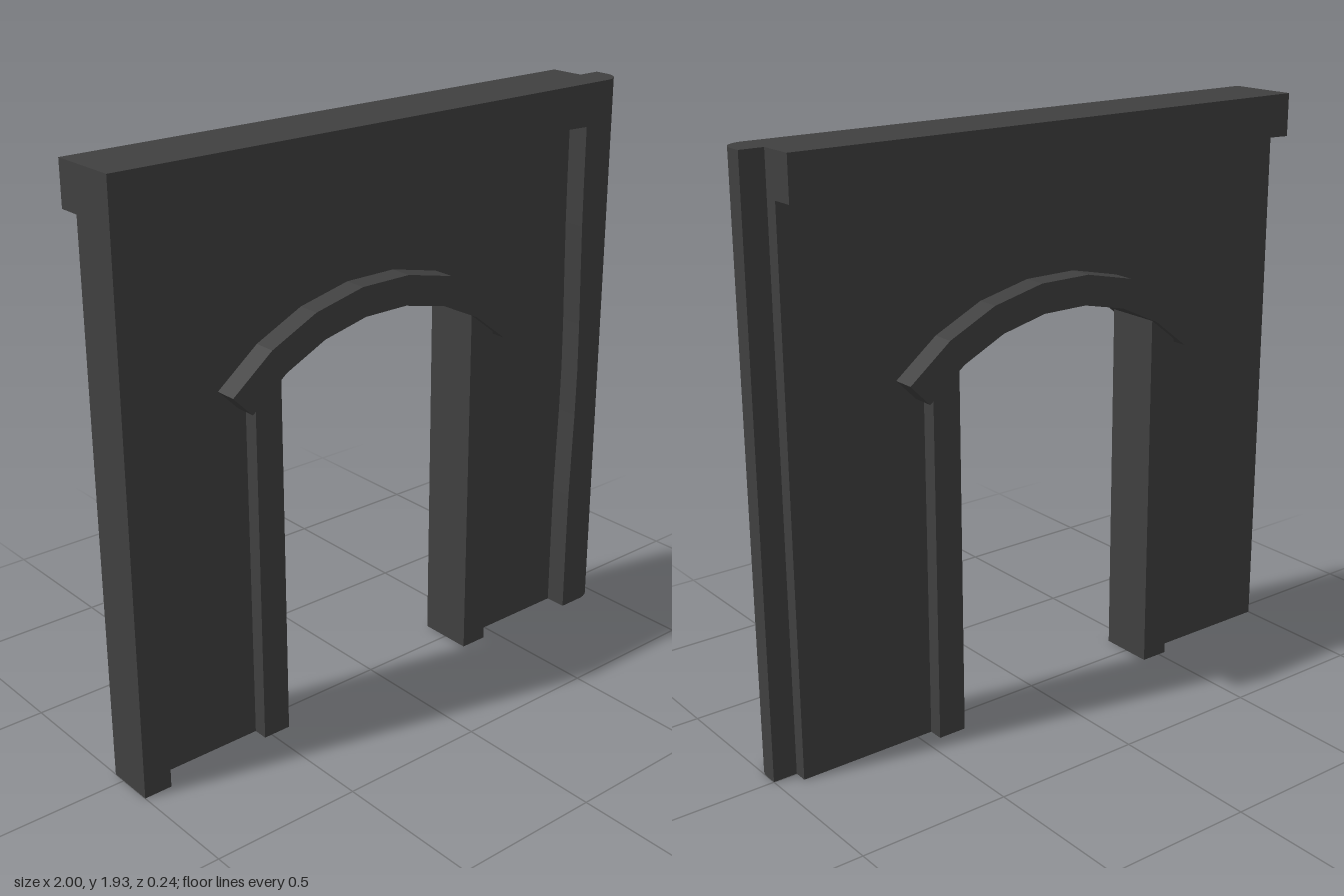
import * as THREE from 'three';
import { toCreasedNormals } from 'three/addons/utils/BufferGeometryUtils.js';

const HEIGHT = 1.93, LEFT = -1, RIGHT = 0.92;   // flat part of the wall
const OUT = 0.12, PANEL = 0.045, JAMB = 0.095;  // half depths
const CX = -0.04, CY = 0.612;                   // centre of the arch
const R_IN = 0.735, R_OUT = 0.833, SPAN = 0.778, SEGMENTS = 7;

// Points of the faceted arch from the left of the opening to the right
function arc(radius, span = SPAN) {
  const points = [];
  for (let i = 0; i <= SEGMENTS; i++) {
    const a = -span + (2 * span * i) / SEGMENTS;
    points.push([CX + radius * Math.sin(a), CY + radius * Math.cos(a)]);
  }
  return points;
}

// Smooth, slightly uneven edge through a few points
function wavy(points) {
  const curve = new THREE.SplineCurve(points.map(([x, y]) => new THREE.Vector2(x, y)));
  return curve.getPoints(12).map((p) => [p.x, p.y]);
}

function polygon(points) {
  return new THREE.Shape(points.map(([x, y]) => new THREE.Vector2(x, y)));
}

export function createModel() {
  const group = new THREE.Group();
  const material = new THREE.MeshStandardMaterial({ color: 0x404040 });

  function add(name, geometry) {
    const mesh = new THREE.Mesh(geometry, material);
    mesh.name = name;
    group.add(mesh);
  }
  // Outline in x and y, extruded from z0 to z1
  function slab(name, points, z0, z1) {
    const geometry = new THREE.ExtrudeGeometry(polygon(points), { depth: z1 - z0, bevelEnabled: false });
    add(name, geometry.translate(0, 0, z0));
  }

  const leftEdge = wavy([[-0.905, 0], [-0.903, 0.5], [-0.892, 0.93], [-0.908, 1.4], [-0.905, 1.79]]);
  const topEdge = wavy([[-0.905, 1.79], [-0.3, 1.775], [0.28, 1.8], [0.83, 1.787]]);
  const rightEdge = wavy([[0.83, 1.787], [0.832, 1.45], [0.845, 0.92], [0.832, 0.45], [0.83, 0]]);
  const underside = [[LEFT, 1.787], ...topEdge, [RIGHT, 1.79]];

  // Thin wall panel; its opening edge is hidden inside the jambs and arch
  slab('wallPanel', [
    [LEFT, 0], ...underside, [RIGHT, 0],
    [0.4, 0], ...arc(0.785, 0.595).reverse(), [-0.48, 0],
  ], -PANEL, PANEL);

  // Raised front surround and the top beam that projects at the back
  slab('frontSurround', [
    [LEFT, 0], ...leftEdge, ...topEdge.slice(1), ...rightEdge.slice(1),
    [RIGHT, 0], [RIGHT, HEIGHT], [LEFT, HEIGHT],
  ], PANEL, OUT);
  slab('topBeam', [...underside, [RIGHT, HEIGHT], [LEFT, HEIGHT]], -OUT, PANEL);

  // Rounded end post, drawn in plan and extruded upward
  const plan = new THREE.Shape();
  plan.moveTo(RIGHT, 0);
  plan.lineTo(RIGHT, -OUT);
  plan.absarc(RIGHT, -OUT + 0.08, 0.08, -Math.PI / 2, 0, false);
  plan.lineTo(1, 0);
  const post = new THREE.ExtrudeGeometry(plan, { depth: HEIGHT, bevelEnabled: false, curveSegments: 12 });
  add('roundedPost', toCreasedNormals(post.rotateX(-Math.PI / 2), 0.6));

  // Jambs run up into the arch moulding
  for (const [name, side] of [['leftJamb', 1], ['rightJamb', -1]]) {
    const inner = CX + side * 0.39, outer = CX + side * 0.487;
    slab(name, [[inner, 0], [outer, 0], [outer, 1.2], [inner, 1.27]], -JAMB, JAMB);
  }

  // Arch moulding standing proud on both faces
  slab('archMoulding', [...arc(R_OUT), ...arc(R_IN).reverse()], -OUT, OUT);

  return group;
}
